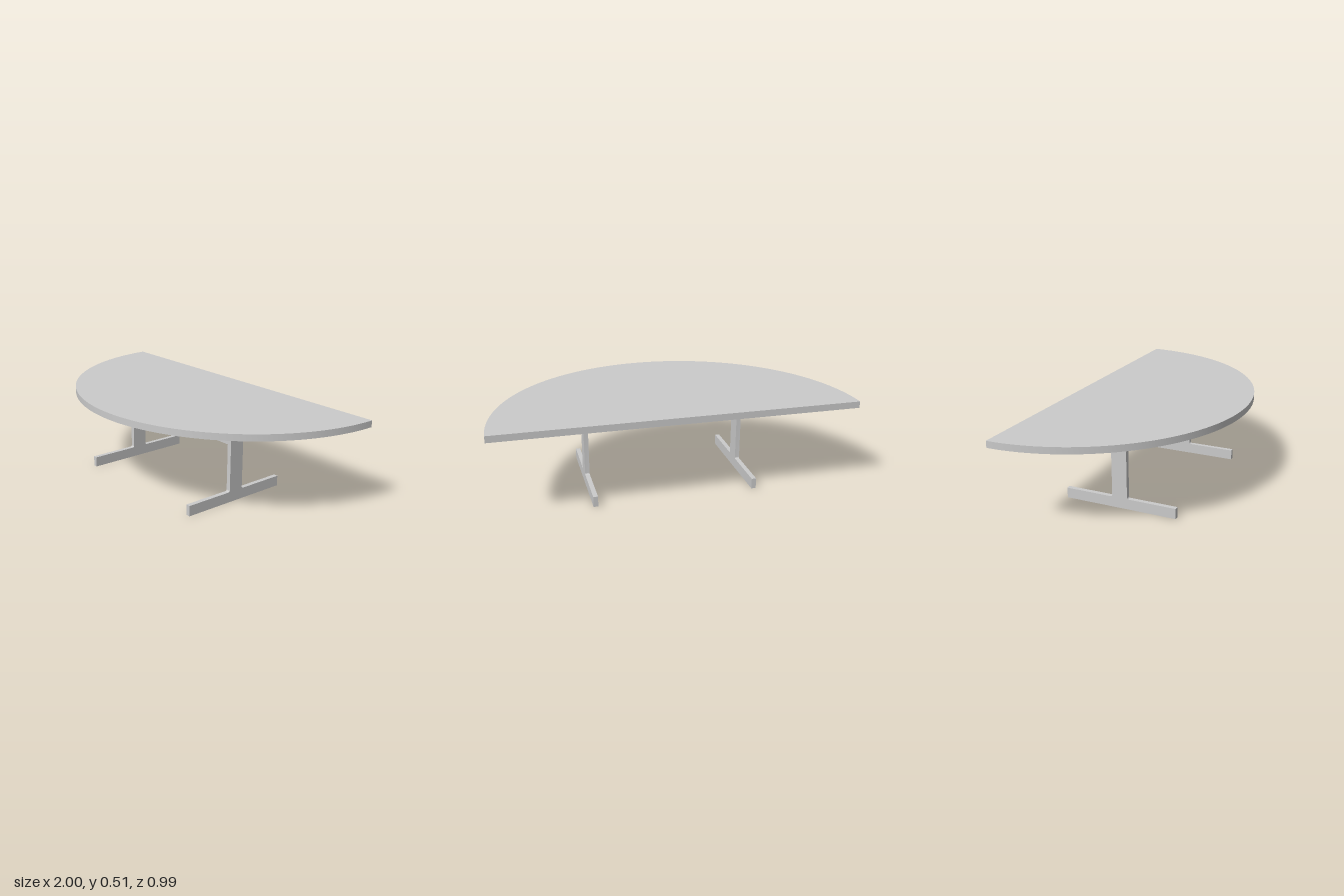
import * as THREE from 'three';
import { toCreasedNormals } from 'three/addons/utils/BufferGeometryUtils.js';

const material = new THREE.MeshStandardMaterial({ color: 0xcccccc });

function addMesh(parent, name, geometry) {
  const mesh = new THREE.Mesh(geometry, material);
  mesh.name = name;
  parent.add(mesh);
  return mesh;
}

// Half-round slab: straight edge at the back, curve to the front
function tabletopGeometry() {
  const shape = new THREE.Shape();
  shape.moveTo(1, 0.497);
  shape.absellipse(0, 0.497, 1, 0.994, 0, Math.PI, true);
  shape.closePath();
  const geometry = new THREE.ExtrudeGeometry(shape, { depth: 0.037, bevelEnabled: false, curveSegments: 64 });
  geometry.rotateX(-Math.PI / 2); // shape y becomes -z
  return toCreasedNormals(geometry, 0.5);
}

// Inverted T panel with small fillets where the post meets the foot
function legGeometry(thickness) {
  const footBack = -0.385, footFront = 0.278, footTop = 0.06;
  const postBack = -0.1, postFront = -0.01, postTop = 0.471, r = 0.01;
  const s = new THREE.Shape(); // drawn with shape x = -z
  s.moveTo(-footFront, 0);
  s.lineTo(-footBack, 0);
  s.lineTo(-footBack, footTop);
  s.lineTo(-postBack + r, footTop);
  s.quadraticCurveTo(-postBack, footTop, -postBack, footTop + r);
  s.lineTo(-postBack, postTop);
  s.lineTo(-postFront, postTop);
  s.lineTo(-postFront, footTop + r);
  s.quadraticCurveTo(-postFront, footTop, -postFront - r, footTop);
  s.lineTo(-footFront, footTop);
  s.closePath();
  const geometry = new THREE.ExtrudeGeometry(s, { depth: thickness, bevelEnabled: false, curveSegments: 6 });
  geometry.translate(0, 0, -thickness / 2);
  geometry.rotateY(Math.PI / 2);
  return toCreasedNormals(geometry, 0.5);
}

export function createModel() {
  const table = new THREE.Group();
  table.name = 'halfRoundTable';

  addMesh(table, 'tabletop', tabletopGeometry()).position.y = 0.478;

  // Pair of T-shaped legs
  const leg = legGeometry(0.026);
  addMesh(table, 'leftLeg', leg).position.x = 0.452;
  addMesh(table, 'rightLeg', leg).position.x = -0.452;

  // Rail joining the posts
  addMesh(table, 'stretcher', new THREE.BoxGeometry(0.878, 0.08, 0.04)).position.set(0, 0.36, -0.055);

  return table;
}
